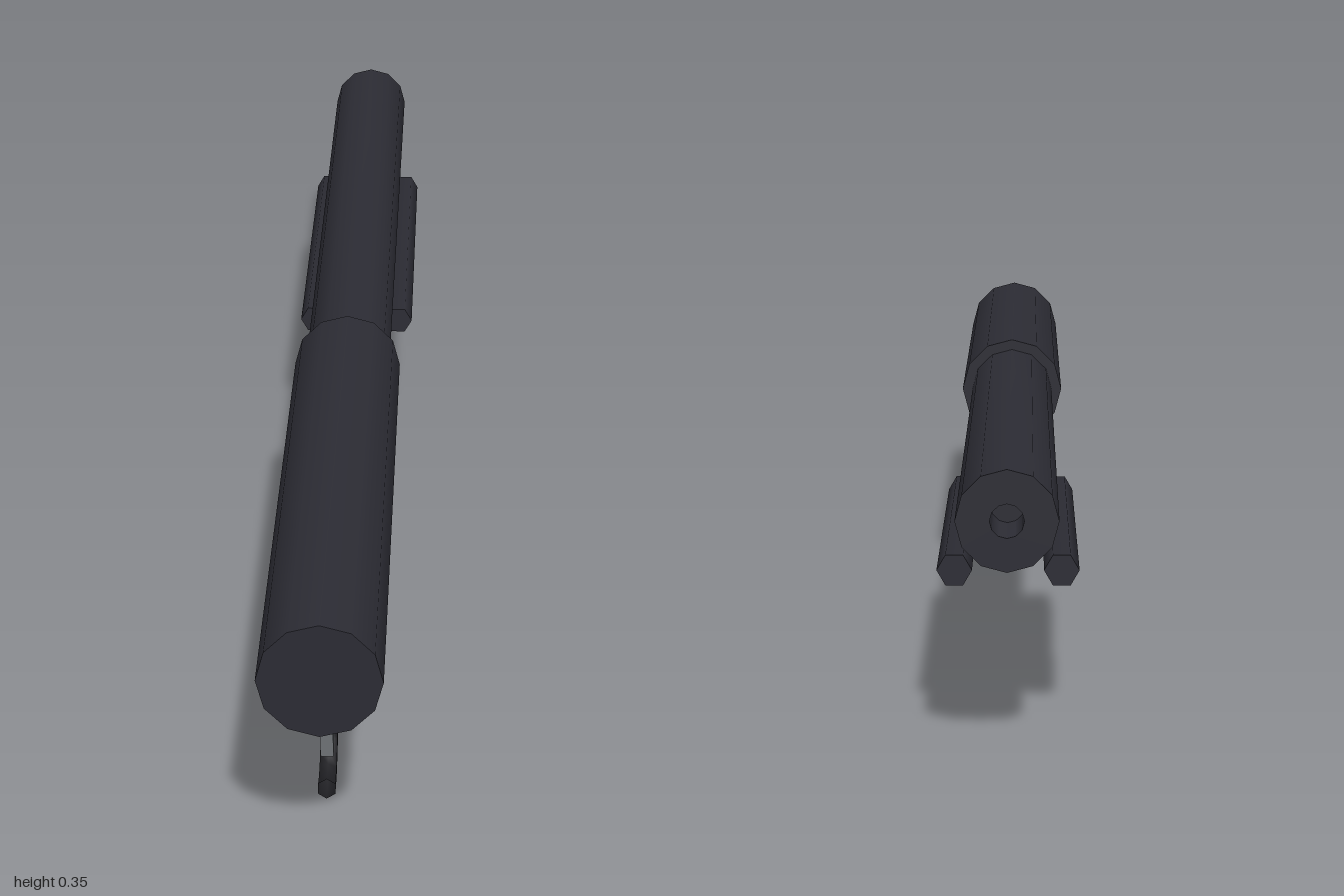
import * as THREE from 'three';
import { toCreasedNormals } from 'three/addons/utils/BufferGeometryUtils.js';

const gunmetal = new THREE.MeshStandardMaterial({ color: 0x2c2c34 });
gunmetal.name = 'gunmetal';
const black = new THREE.MeshStandardMaterial({ color: 0x212125, side: THREE.DoubleSide });
black.name = 'black';
const steel = new THREE.MeshStandardMaterial({ color: 0x7c8084 });
steel.name = 'steel';

const AXIS_Y = 0.278;

export function createModel() {
  const model = new THREE.Group();
  const add = (name, geometry, material, x, y, z) => {
    const mesh = new THREE.Mesh(geometry, material);
    mesh.name = name;
    mesh.position.set(x, y, z);
    model.add(mesh);
    return mesh;
  };

  // Thick twelve-sided front body
  const body = new THREE.CylinderGeometry(0.075, 0.075, 0.88, 12).rotateX(Math.PI / 2);
  add('body', body, gunmetal, 0, AXIS_Y, 0.56);

  // Slimmer tube running to the rear, with a bored end
  const profile = [[0.06, -0.13], [0.06, 1], [0.02, 1], [0.02, 0.9], [0, 0.9]]
    .map(([r, y]) => new THREE.Vector2(r, y));
  const tube = toCreasedNormals(new THREE.LatheGeometry(profile, 12), 0.8).rotateX(-Math.PI / 2);
  add('barrel', tube, gunmetal, 0, AXIS_Y, 0);

  // Pair of hexagonal rods below the tube
  for (const side of [-1, 1]) {
    const rod = new THREE.CylinderGeometry(0.0215, 0.0215, 0.575, 6)
      .rotateY(Math.PI / 2).rotateX(Math.PI / 2);
    add(side > 0 ? 'leftRod' : 'rightRod', rod, gunmetal, side * 0.065, 0.185, -0.533);
  }

  // Curved guard, open toward the front
  const arc = Math.PI * 1.2;
  const guard = new THREE.TorusGeometry(0.069, 0.0125, 6, 12, arc)
    .rotateZ(-arc / 2).rotateY(Math.PI / 2);
  add('guard', guard, black, 0, 0.0815, 0.803);

  // Tilted trigger inside the guard
  const trigger = add('trigger', new THREE.BoxGeometry(0.016, 0.075, 0.02), steel, 0, 0.092, 0.808);
  trigger.rotation.x = 0.26;

  return model;
}
